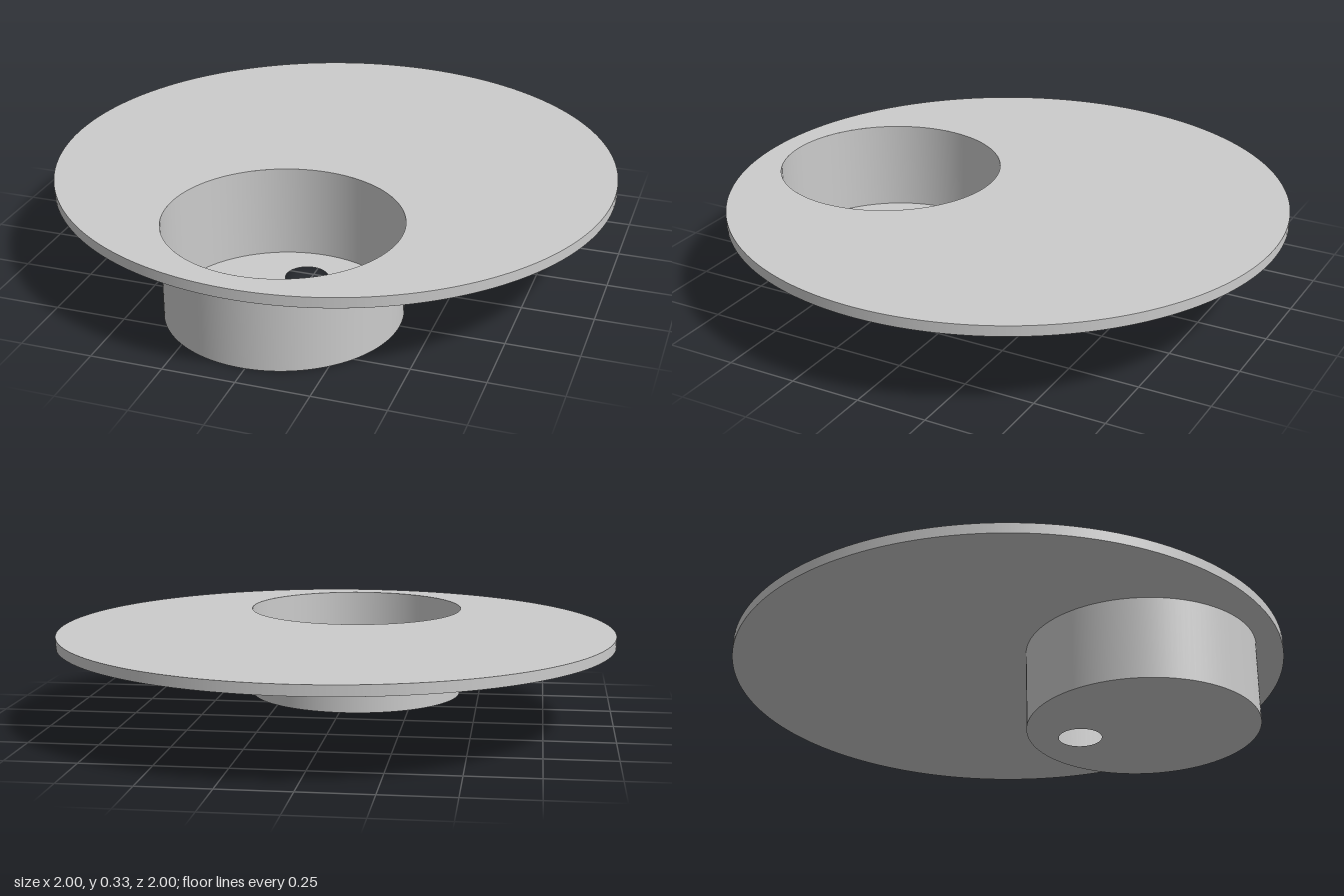
import * as THREE from 'three';

const SEG = 128;
const TOP = 0.333, UNDER = 0.296;                // faces of the plate
const CUP = { x: -0.016, z: 0.506, r: 0.408 };   // round well
const DRAIN = { x: -0.016, z: 0.276, r: 0.076 }; // hole in the well floor

const material = new THREE.MeshStandardMaterial({ color: 0xcccccc, side: THREE.DoubleSide });

// Flat horizontal disc with a round hole, facing up or down
function ringFace(name, outer, hole, y, up) {
  const s = up ? -1 : 1;
  const shape = new THREE.Shape().absarc(outer.x, s * outer.z, outer.r, 0, Math.PI * 2);
  shape.holes.push(new THREE.Path().absarc(hole.x, s * hole.z, hole.r, 0, Math.PI * 2, true));
  const geometry = new THREE.ShapeGeometry(shape, SEG).rotateX(s * Math.PI / 2).translate(0, y, 0);
  const mesh = new THREE.Mesh(geometry, material);
  mesh.name = name;
  return mesh;
}

// Open round wall between two heights
function wall(name, c, y0, y1) {
  const geometry = new THREE.CylinderGeometry(c.r, c.r, y1 - y0, SEG, 1, true)
    .translate(c.x, (y0 + y1) / 2, c.z);
  const mesh = new THREE.Mesh(geometry, material);
  mesh.name = name;
  return mesh;
}

export function createModel() {
  const model = new THREE.Group();
  model.name = 'plateWithWell';
  const disc = { x: 0, z: 0, r: 1 };

  // Thin round plate, open over the well
  const plate = new THREE.Group();
  plate.name = 'plate';
  plate.add(
    ringFace('plateTop', disc, CUP, TOP, true),
    ringFace('plateUnderside', disc, CUP, UNDER, false),
    wall('plateRim', disc, UNDER, TOP)
  );

  // Off-centre thin-walled well with a small drain hole in its floor
  const well = new THREE.Group();
  well.name = 'well';
  well.add(
    wall('wellWall', CUP, 0, TOP),
    ringFace('wellFloor', CUP, DRAIN, 0, false)
  );

  model.add(plate, well);
  return model;
}
